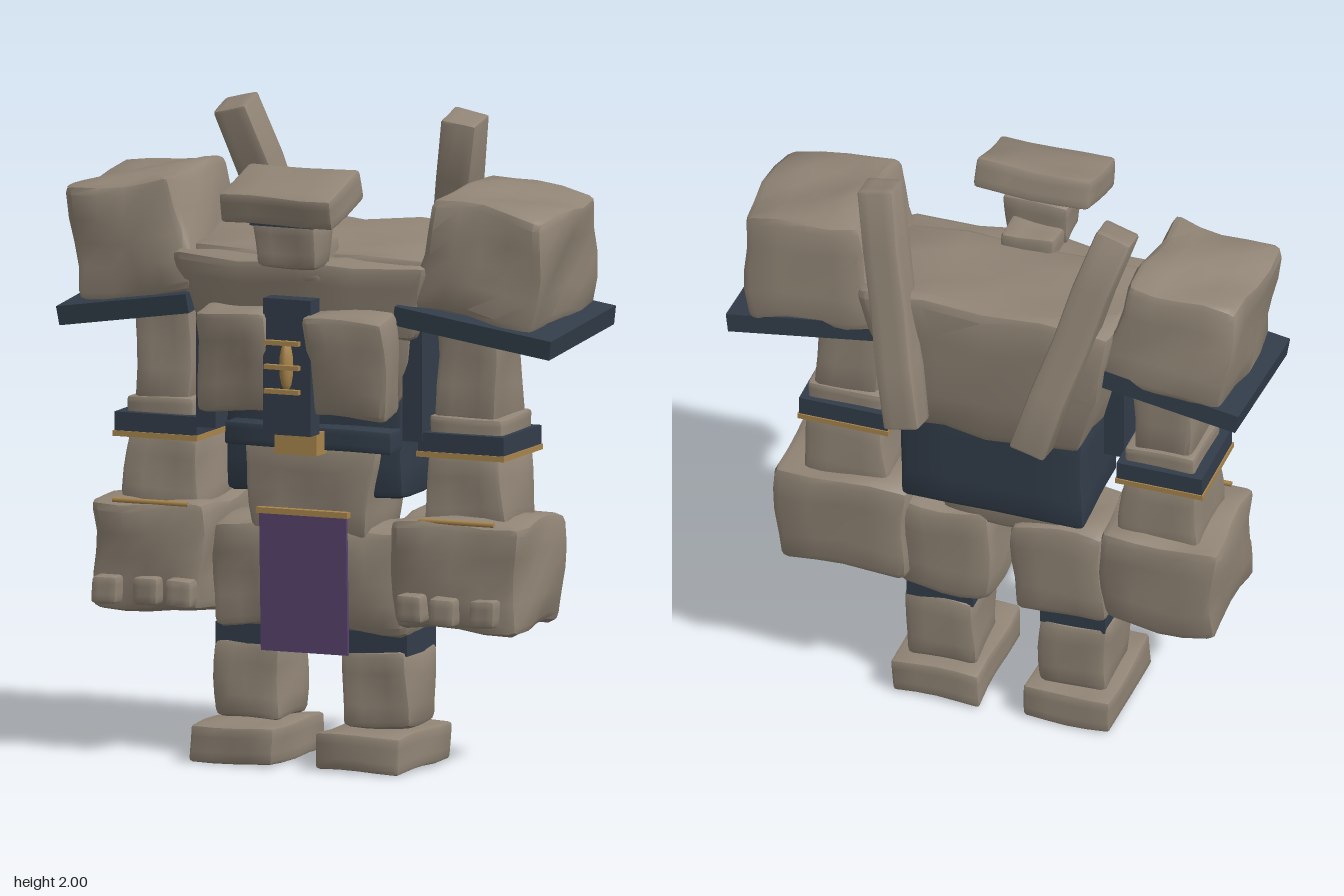
import * as THREE from 'three';
import { toCreasedNormals } from 'three/addons/utils/BufferGeometryUtils.js';

const material = (name, color) => {
  const m = new THREE.MeshStandardMaterial({ color });
  m.name = name;
  return m;
};

export function createModel() {
  const stone = material('stone', 0x908475);
  const dark = material('dark slate', 0x323d4a);
  const gold = material('gold trim', 0xa8854c);
  const purple = material('purple cloth', 0x59446e);
  const model = new THREE.Group();
  model.name = 'stoneGuardian';

  // Worn block: rounded box, optionally reshaped in unit coordinates, with soft dents
  function blockGeometry(size, r, dent, seed, shape) {
    const geo = new THREE.BoxGeometry(2, 2, 2, 6, 6, 6);
    geo.deleteAttribute('uv');
    geo.deleteAttribute('normal');
    const pos = geo.attributes.position;
    const half = size.map(s => s / 2);
    const v = new THREE.Vector3();
    for (let i = 0; i < pos.count; i++) {
      v.fromBufferAttribute(pos, i);
      const inner = v.toArray().map((u, k) => THREE.MathUtils.clamp(u * 1.5, -1, 1) * (half[k] - r));
      const out = new THREE.Vector3(...v.toArray().map(u => (Math.abs(u) > 0.99 ? Math.sign(u) : 0)));
      out.normalize().multiplyScalar(r);
      v.set(...inner).add(out);
      if (shape) {
        const u = new THREE.Vector3(v.x / half[0], v.y / half[1], v.z / half[2]);
        shape(u);
        v.set(u.x * half[0], u.y * half[1], u.z * half[2]);
      }
      const { x, y, z } = v;
      v.x += dent * Math.sin(17 * y + 13 * z + seed);
      v.y += dent * Math.sin(15 * x + 19 * z + seed * 2);
      v.z += dent * Math.sin(16 * x + 14 * y + seed * 3);
      pos.setXYZ(i, v.x, v.y, v.z);
    }
    return toCreasedNormals(geo, 0.6);
  }

  function place(name, geo, mat, center, rot = [0, 0, 0]) {
    const mesh = new THREE.Mesh(geo, mat);
    mesh.name = name;
    mesh.position.set(...center);
    mesh.rotation.set(...rot);
    model.add(mesh);
    return mesh;
  }

  // Blocks given by their extents along each axis
  let seed = 1;
  const spans = (x, y, z) => ({
    size: [x[1] - x[0], y[1] - y[0], z[1] - z[0]],
    center: [(x[0] + x[1]) / 2, (y[0] + y[1]) / 2, (z[0] + z[1]) / 2],
  });
  function rock(name, x, y, z, { mat = stone, r = 0.02, dent = 0.006, rot, shape } = {}) {
    const { size, center } = spans(x, y, z);
    return place(name, blockGeometry(size, r, dent, seed++, shape), mat, center, rot);
  }
  function plain(name, mat, x, y, z, rot) {
    const { size, center } = spans(x, y, z);
    return place(name, new THREE.BoxGeometry(...size), mat, center, rot);
  }
  // Scales the block in x and z from bottom to top
  const taper = (bx, bz, tx, tz) => u => {
    const t = (u.y + 1) / 2;
    u.x *= THREE.MathUtils.lerp(bx, tx, t);
    u.z *= THREE.MathUtils.lerp(bz, tz, t);
  };

  // Torso
  rock('torso', [-0.43, 0.40], [1.13, 1.64], [-0.27, 0.19], {
    r: 0.035, dent: 0.01,
    shape: u => {
      const t = (u.y + 1) / 2;
      u.x *= 0.72 + 0.28 * t;
      if (u.z < 0) u.z *= 0.85 + 0.3 * t - 0.15 * t * t;
      if (u.y > 0) u.y -= 0.1 * (u.z + 1) * u.y;
    },
  });
  rock('collar', [-0.45, 0.41], [1.34, 1.57], [-0.12, 0.28], {
    r: 0.03, dent: 0.008,
    shape: u => {
      const t = (u.y + 1) / 2;
      u.x *= 0.85 + 0.15 * t;
      if (u.z > 0) u.z *= (0.75 + 0.25 * t) * (1.04 - 0.25 * u.x * u.x);
    },
  });
  rock('waist', [-0.31, 0.28], [0.83, 1.2], [-0.2, 0.14], { mat: dark, r: 0.02, dent: 0.003 });
  rock('pelvis', [-0.24, 0.21], [0.7, 0.99], [-0.1, 0.185], { shape: taper(0.84, 0.9, 1, 1) });
  rock('belt', [-0.28, 0.275], [0.98, 1.05], [-0.1, 0.215], { mat: dark, r: 0.006, dent: 0.001 });
  plain('buckle', gold, [-0.085, 0.055], [0.97, 1.04], [0.2, 0.275]);
  plain('rightSidePlate', dark, [-0.39, -0.325], [1.02, 1.43], [-0.04, 0.18]);
  plain('leftSidePlate', dark, [0.3, 0.365], [1.02, 1.43], [-0.04, 0.18]);

  // Chest plates with a dark centre strip and clasp
  for (const [name, x] of [['rightChest', [-0.325, -0.085]], ['leftChest', [0.04, 0.31]]]) {
    rock(name, x, [1.1, 1.42], [0.215, 0.335], { r: 0.022, rot: [0.15, 0, 0] });
  }
  plain('chestStrip', dark, [-0.095, 0.065], [1.04, 1.46], [0.275, 0.34]);
  const gem = place('claspGem', new THREE.SphereGeometry(1, 10, 8), gold, [-0.015, 1.255, 0.34]);
  gem.scale.set(0.022, 0.08, 0.03);
  for (const y of [1.18, 1.255, 1.33]) {
    plain('claspBar', gold, [-0.072, 0.042], [y - 0.007, y + 0.007], [0.365, 0.385]);
  }

  // Head
  rock('head', [-0.125, 0.095], [1.56, 1.71], [0.225, 0.37], { r: 0.018, shape: taper(0.88, 0.9, 1, 1) });
  rock('neck', [-0.1, 0.07], [1.5, 1.64], [0.14, 0.27], { r: 0.015 });
  rock('brow', [-0.203, 0.17], [1.722, 1.822], [0.18, 0.42], { r: 0.014, dent: 0.004, rot: [0.28, 0, 0] });
  plain('eyeBand', dark, [-0.122, 0.09], [1.688, 1.715], [0.36, 0.378]);
  plain('eyeSlit', gold, [-0.1, 0.07], [1.696, 1.706], [0.378, 0.384]);

  // Slanted pillars on the back
  for (const [name, topX, lowX] of [['rightBackPillar', -0.415, -0.195], ['leftBackPillar', 0.352, 0.205]]) {
    const top = new THREE.Vector3(topX, 1.975, -0.175);
    const low = new THREE.Vector3(lowX, 1.23, -0.355);
    const dir = top.clone().sub(low);
    const geo = blockGeometry([0.115, dir.length(), 0.12], 0.01, 0.003, seed++);
    const mesh = place(name, geo, stone, top.clone().add(low).multiplyScalar(0.5).toArray());
    mesh.quaternion.setFromUnitVectors(new THREE.Vector3(0, 1, 0), dir.normalize());
  }

  // Each side has its own measured spans for arms and legs
  const sides = [
    {
      tag: 'right', s: -1, pad: [-0.8, -0.385], rim: [-0.825, -0.385], arm: [-0.62, -0.425],
      elbow: [-0.635, -0.41], band: [-0.665, -0.39], fore: [-0.65, -0.385], fist: [-0.72, -0.335],
      knuckles: [-0.65, -0.515, -0.405], thigh: [-0.345, -0.045], shin: [-0.34, -0.12], foot: [-0.365, -0.085],
    },
    {
      tag: 'left', s: 1, pad: [0.345, 0.785], rim: [0.3, 0.825], arm: [0.385, 0.6],
      elbow: [0.375, 0.615], band: [0.35, 0.635], fore: [0.355, 0.635], fist: [0.275, 0.715],
      knuckles: [0.37, 0.48, 0.61], thigh: [0.02, 0.32], shin: [0.085, 0.31], foot: [0.058, 0.34],
    },
  ];
  for (const p of sides) {
    // Shoulder
    rock(p.tag + 'Pauldron', p.pad, [1.42, 1.78], [-0.235, 0.235], {
      r: 0.03, dent: 0.01, rot: [0.05, 0, -0.15 * p.s],
      shape: u => {
        const t = (u.y + 1) / 2;
        u.x *= 1 - (u.x * p.s < 0 ? 0.25 : 0.06) * t;
        u.z *= 1 - 0.1 * t;
      },
    });
    plain(p.tag + 'PauldronRim', dark, p.rim, [1.37, 1.43], [-0.24, 0.25], [0.09, 0, -0.15 * p.s]);

    // Arm and fist
    rock(p.tag + 'UpperArm', p.arm, [1.08, 1.48], [-0.08, 0.14], { shape: taper(0.93, 1, 1, 0.95) });
    rock(p.tag + 'Elbow', p.elbow, [1.03, 1.1], [-0.09, 0.15], { r: 0.012, dent: 0.003 });
    plain(p.tag + 'ElbowBand', dark, p.band, [0.99, 1.05], [-0.11, 0.175]);
    plain(p.tag + 'ElbowTrim', gold, [p.band[0] - 0.004, p.band[1] + 0.004], [0.975, 0.992], [-0.114, 0.18]);
    rock(p.tag + 'Forearm', p.fore, [0.75, 0.985], [-0.1, 0.165], { shape: taper(1, 1, 0.87, 0.9) });
    rock(p.tag + 'Fist', p.fist, [0.45, 0.79], [-0.145, 0.25], { r: 0.03, dent: 0.009, shape: taper(0.93, 0.94, 1, 1) });
    const mid = (p.fist[0] + p.fist[1]) / 2;
    place(p.tag + 'FistRod', new THREE.CylinderGeometry(0.008, 0.008, 0.25, 8), gold,
      [mid + 0.01, 0.788, 0.235], [0, 0, Math.PI / 2]);
    for (const x of p.knuckles) {
      rock(p.tag + 'Knuckle', [x - 0.042, x + 0.042], [0.475, 0.56], [0.2, 0.292], { r: 0.012, dent: 0.003 });
    }

    // Leg
    rock(p.tag + 'Thigh', p.thigh, [0.415, 0.74], [-0.11, 0.175], { r: 0.03, dent: 0.009 });
    plain(p.tag + 'KneeBand', dark, [p.shin[0] + 0.005, p.shin[1] - 0.005], [0.35, 0.42], [-0.06, 0.155]);
    rock(p.tag + 'Shin', p.shin, [0.125, 0.365], [-0.065, 0.165], { r: 0.022 });
    rock(p.tag + 'Foot', p.foot, [0.005, 0.12], [-0.1, 0.292], { r: 0.012, dent: 0.004 });
  }

  // Hanging cloth
  plain('loincloth', purple, [-0.16, 0.13], [0.35, 0.78], [0.204, 0.216], [0.03, 0, 0]);
  plain('clothRod', gold, [-0.167, 0.137], [0.776, 0.794], [0.205, 0.23]);

  return model;
}
